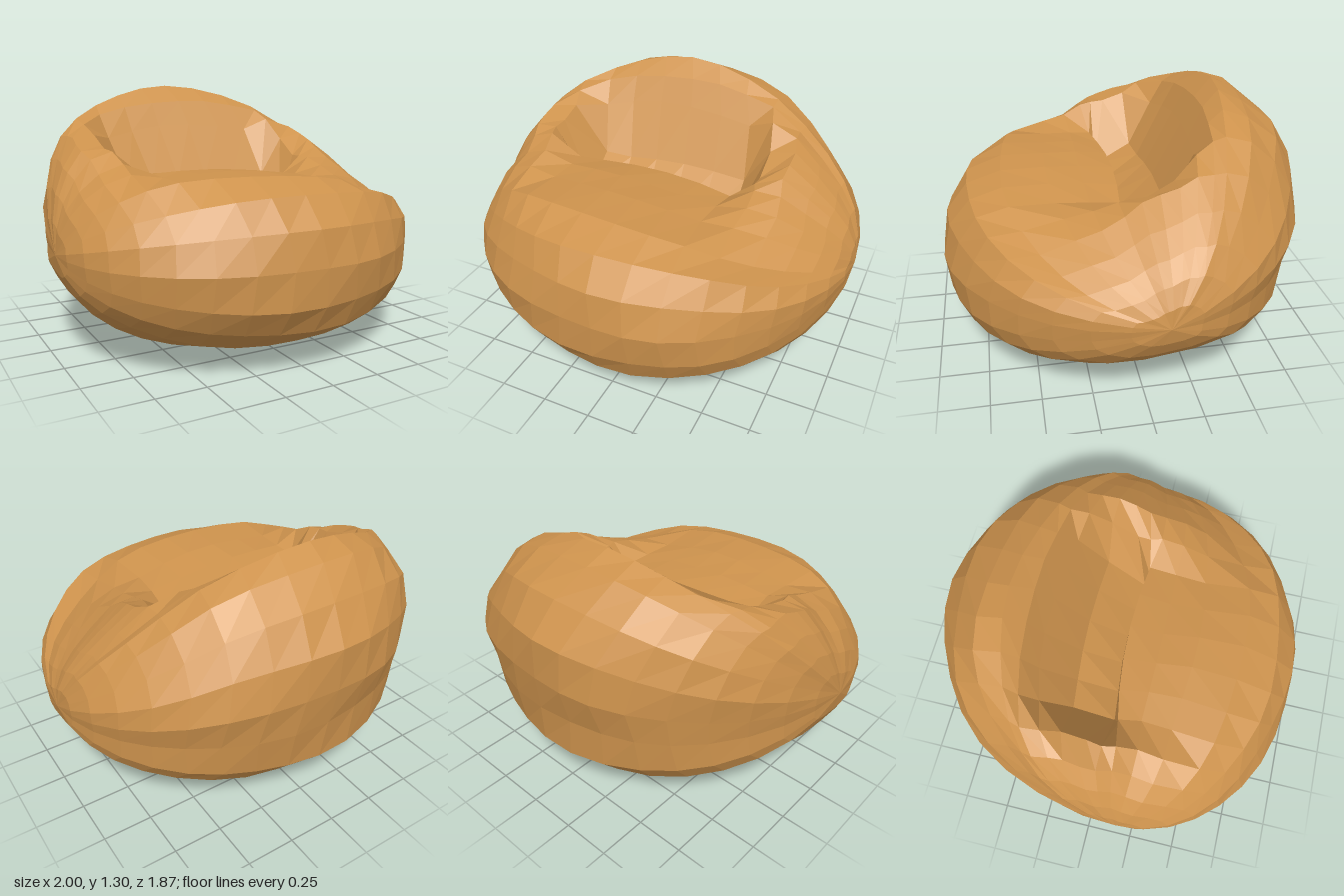
import * as THREE from 'three';

const { smoothstep, clamp, lerp } = THREE.MathUtils;

// Lengthwise section through the middle as [z, y]: underside, front, seat, crevice, backrest, rear
const MIDDLE = [
  [0.1, 0], [0.43, 0.015], [0.72, 0.11], [0.86, 0.21], [0.93, 0.34], [0.945, 0.52],
  [0.9, 0.69], [0.8, 0.83], [0.62, 0.895], [0.38, 0.89], [0.2, 0.88], [0.02, 0.86],
  [0.03, 0.74], [0.0, 0.62], [-0.2, 0.8], [-0.36, 1.08], [-0.44, 1.22], [-0.53, 1.295],
  [-0.66, 1.25], [-0.81, 1.13], [-0.92, 0.96], [-0.94, 0.75], [-0.9, 0.55], [-0.88, 0.34],
  [-0.76, 0.21], [-0.4, 0.09],
];
// The same seat points where the hollow runs out into the arms
const ARM_START = 8;
const ARM = [
  [0.62, 0.94], [0.4, 1.03], [0.24, 1.09], [0.1, 1.17], [-0.01, 1.23],
  [-0.12, 1.27], [-0.24, 1.3], [-0.35, 1.32], [-0.46, 1.31],
];
const POLE_Y = 0.53;
const STATIONS = 18;

// Point j of the section at u, from -1 to 1 across the width
function bodyPoint(u, j) {
  const side = Math.abs(u);
  const n = u < 0 ? 2.1 : 2;
  const scale = Math.pow(Math.max(0, 1 - Math.pow(side, n)), 1 / n);
  const poleZ = 0.05 - 0.12 * u;
  let [z, y] = MIDDLE[j];

  // Seat tilts down to the left, and its lip curves forward at the ends
  if (j >= 8 && j <= 13) y -= 0.08 * u;
  if (j >= 11 && j <= 13) z += 0.2 * u * u;

  // Blend the hollow into the arms; the left arm is lower
  const arm = ARM[j - ARM_START];
  if (arm) {
    const w = u < 0 ? smoothstep(side, 0.46, 0.72) : smoothstep(side, 0.32, 0.62);
    const height = u < 0 ? 1 : lerp(0.74, 0.96, (j - ARM_START) / (ARM.length - 1));
    z += (arm[0] - z) * w;
    y += (POLE_Y + (arm[1] - POLE_Y) * height - y) * w;
  }

  // The left shoulder slopes away
  if (u > 0 && y > POLE_Y) y -= (y - POLE_Y) * 0.16 * smoothstep(u, 0.4, 0.9);

  // Slight unevenness of the stuffed fabric, with the top leaning sideways
  const puff = scale * (1 + 0.01 * Math.sin(j * 2.3 + u * 7));
  const py = Math.max(0, POLE_Y + (y - POLE_Y) * (j < 2 ? scale : puff));
  const pz = clamp(poleZ + (z - poleZ) * puff, -0.945, 0.945);
  const lean = 0.12 * Math.pow(Math.max(0, py - 0.6) / 0.7, 1.7);
  const wobble = 0.015 * scale * Math.sin(j * 1.7 + u * 5);
  return [u - lean + wobble, py, pz];
}

function createBodyGeometry() {
  const rings = [];
  for (let i = 0; i <= STATIONS; i++) {
    const u = i === 0 ? -1 : i === STATIONS ? 1 : Math.sin((i / STATIONS - 0.5) * Math.PI);
    rings.push(MIDDLE.map((_, j) => bodyPoint(u, j)));
  }
  const positions = [];
  for (let i = 0; i < STATIONS; i++) {
    for (let j = 0; j < MIDDLE.length; j++) {
      const k = (j + 1) % MIDDLE.length;
      const a = rings[i][j], b = rings[i + 1][j], c = rings[i][k], d = rings[i + 1][k];
      if (i < STATIONS - 1) positions.push(...a, ...b, ...d);
      else positions.push(...a, ...b, ...c);
      if (i > 0 && i < STATIONS - 1) positions.push(...a, ...d, ...c);
    }
  }
  const geometry = new THREE.BufferGeometry();
  geometry.setAttribute('position', new THREE.Float32BufferAttribute(positions, 3));
  geometry.computeVertexNormals();
  return geometry;
}

export function createModel() {
  const group = new THREE.Group();
  group.name = 'beanBagChair';
  const fabric = new THREE.MeshStandardMaterial({ color: 0xce934d, flatShading: true });
  const body = new THREE.Mesh(createBodyGeometry(), fabric);
  body.name = 'beanBag';
  group.add(body);
  return group;
}
